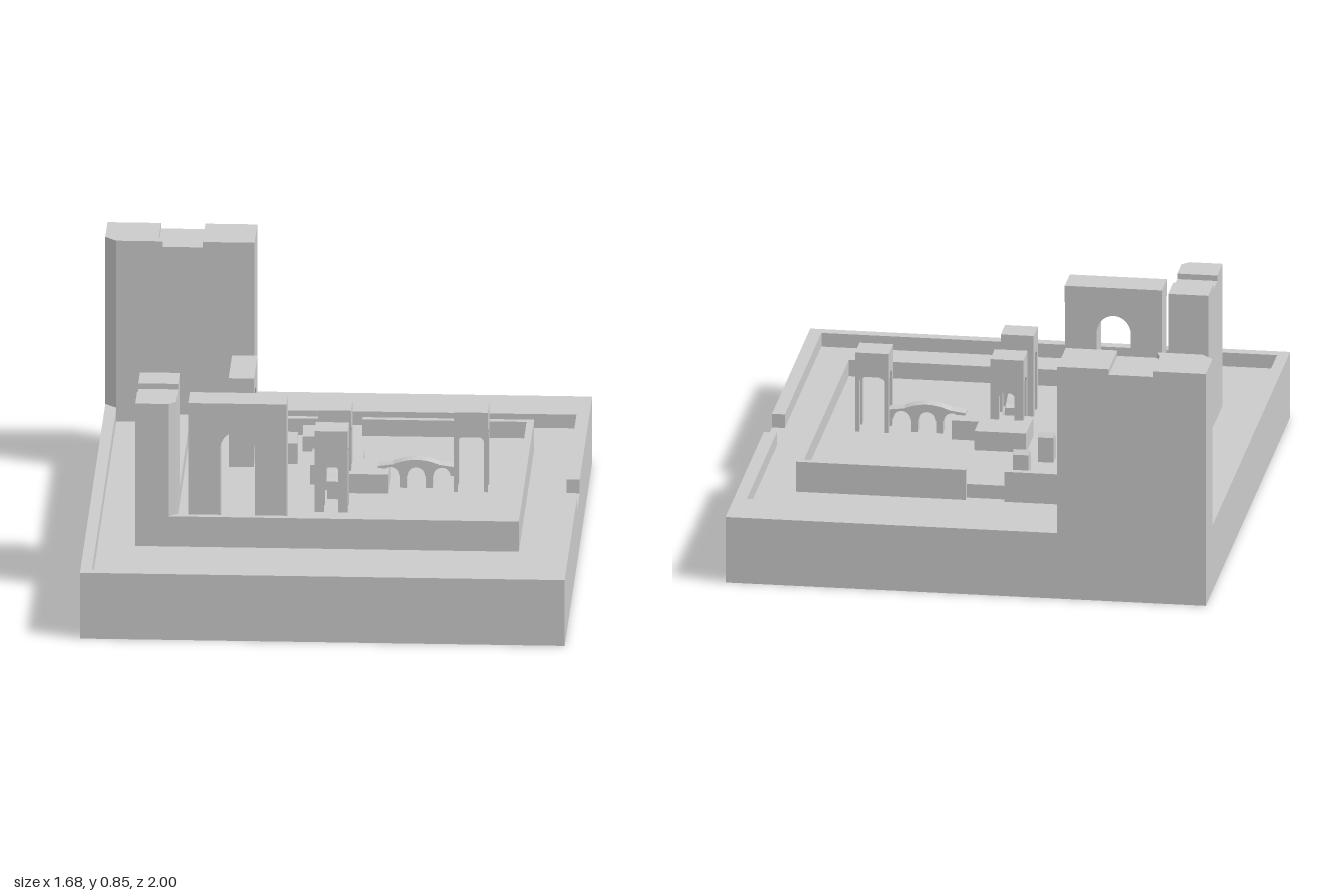
import * as THREE from 'three';

const material = new THREE.MeshStandardMaterial({ color: 0xcccccc, flatShading: true });

export function createModel() {
  const model = new THREE.Group();

  const add = (name, geometry, parent = model) => {
    const mesh = new THREE.Mesh(geometry, material);
    mesh.name = name;
    parent.add(mesh);
    return mesh;
  };
  const group = (name) => {
    const g = new THREE.Group();
    g.name = name;
    model.add(g);
    return g;
  };
  // Box given by its limits
  const box = (name, x0, x1, y0, y1, z0, z1, parent) => {
    const g = new THREE.BoxGeometry(x1 - x0, y1 - y0, z1 - z0);
    g.translate((x0 + x1) / 2, (y0 + y1) / 2, (z0 + z1) / 2);
    return add(name, g, parent);
  };
  // Plan outline of [x, z] points raised from y0 to y1
  const slab = (name, plan, y0, y1, parent) => {
    const shape = new THREE.Shape(plan.map(([x, z]) => new THREE.Vector2(x, -z)));
    const g = new THREE.ExtrudeGeometry(shape, { depth: y1 - y0, bevelEnabled: false });
    g.rotateX(-Math.PI / 2).translate(0, y0, 0);
    return add(name, g, parent);
  };
  // Upright shape centred on (x, z); alongZ turns its width along z
  const upright = (name, shape, depth, x, z, alongZ, parent) => {
    const g = new THREE.ExtrudeGeometry(shape, { depth, bevelEnabled: false, curveSegments: 10 });
    g.translate(0, 0, -depth / 2);
    if (alongZ) g.rotateY(-Math.PI / 2);
    g.translate(x, 0, z);
    return add(name, g, parent);
  };
  // Block of width w with an arched opening from its foot
  const archShape = (w, y0, y1, open, spring, rise) => {
    const s = new THREE.Shape();
    s.moveTo(-w / 2, y0);
    s.lineTo(-w / 2, y1);
    s.lineTo(w / 2, y1);
    s.lineTo(w / 2, y0);
    if (open < w) s.lineTo(open / 2, y0);
    s.lineTo(open / 2, spring);
    s.absellipse(0, spring, open / 2, rise, 0, Math.PI, false, 0);
    s.lineTo(-open / 2, y0);
    return s;
  };

  const ground = 0.19, court = 0.24;

  // Ground and outer wall, open on one side
  box('ground', -0.84, 0.84, 0, ground, -1, 1);
  slab('outerWall', [
    [0.84, 0.095], [0.84, 1], [-0.84, 1], [-0.84, -1], [0.84, -1], [0.84, -0.095],
    [0.795, -0.095], [0.795, -0.8], [-0.8, -0.8], [-0.8, 0.96], [0.795, 0.96], [0.795, 0.095],
  ], ground, 0.24);

  // Inner courtyard and its wall, open at the back
  box('courtyard', -0.54, 0.64, ground, court, -0.535, 0.53);
  slab('innerWall', [
    [0.065, -0.56], [0.66, -0.56], [0.66, 0.55], [-0.67, 0.55], [-0.67, -0.56], [-0.07, -0.56],
    [-0.07, -0.535], [-0.53, -0.535], [-0.53, 0.525], [0.635, 0.525], [0.635, -0.535], [0.065, -0.535],
  ], ground, 0.3);

  // Tall corner tower with a notched top
  const keep = group('backTower');
  slab('towerBody', [[-0.84, -1], [-0.32, -1], [-0.32, -0.8], [-0.8, -0.8], [-0.84, -0.84]], 0.24, 0.83, keep);
  slab('leftCrown', [[-0.84, -1], [-0.655, -1], [-0.655, -0.84], [-0.64, -0.8], [-0.8, -0.8], [-0.84, -0.84]], 0.83, 0.85, keep);
  box('rightCrown', -0.5, -0.32, 0.83, 0.85, -1, -0.8, keep);

  // Tower on the courtyard wall
  const gate = group('frontTower');
  const corner = [[-0.53, 0.525], [-0.555, 0.55], [-0.67, 0.55]];
  slab('towerBody', [...corner, [-0.67, 0.21], [-0.53, 0.21]], 0.3, 0.69, gate);
  slab('frontCrown', [...corner, [-0.67, 0.425], [-0.53, 0.425]], 0.69, 0.71, gate);
  box('backCrown', -0.67, -0.53, 0.69, 0.71, 0.21, 0.33, gate);

  // Two free-standing arches with cap slabs
  const front = group('frontArch');
  upright('archBody', archShape(0.34, court, 0.62, 0.12, 0.51, 0.065), 0.105, -0.32, 0.387, false, front);
  box('archCap', -0.49, -0.15, 0.62, 0.68, 0.327, 0.447, front);
  const side = group('sideArch');
  upright('archBody', archShape(0.24, court, 0.525, 0.09, 0.445, 0.045), 0.085, -0.336, -0.297, true, side);
  box('archCap', -0.38, -0.292, 0.525, 0.565, -0.422, -0.172, side);

  // Small pavilions: four posts, arched lintels and a solid head
  const pavilion = (name, x, z, w, d, top, openX, archX, openZ, archZ) => {
    const g = group(name);
    const head = Math.max(archX, archZ) + 0.01;
    box('head', x - w / 2, x + w / 2, head, top, z - d / 2, z + d / 2, g);
    const px = (w - openX) / 2, pz = (d - openZ) / 2;
    for (const sx of [-1, 1]) for (const sz of [-1, 1]) {
      const cx = x + sx * (w - px) / 2, cz = z + sz * (d - pz) / 2;
      box('post', cx - px / 2, cx + px / 2, court, head, cz - pz / 2, cz + pz / 2, g);
    }
    const lintel = (open, arch) => archShape(open, arch - 0.02, head, open, arch - 0.02, 0.02);
    for (const s of [-1, 1]) {
      upright('lintel', lintel(openX, archX), pz, x, z + s * (d - pz) / 2, false, g);
      upright('lintel', lintel(openZ, archZ), px, x + s * (w - px) / 2, z, true, g);
    }
  };
  pavilion('centrePavilion', -0.003, 0.005, 0.115, 0.105, 0.53, 0.055, 0.41, 0.05, 0.45);
  pavilion('frontPavilion', -0.003, 0.25, 0.115, 0.1, 0.535, 0.05, 0.41, 0.05, 0.46);
  pavilion('sidePavilion', 0.47, 0.005, 0.118, 0.105, 0.53, 0.09, 0.445, 0.05, 0.45);

  // Overlapping low terraces under the centre pavilion
  slab('terrace', [
    [-0.09, -0.18], [0.09, -0.18], [0.09, -0.08], [0.185, -0.08],
    [0.185, 0.09], [0.02, 0.09], [0.02, 0], [-0.09, 0],
  ], court, 0.31);

  // Humped footbridges with small arches underneath
  const bridge = (name, length, x, z, alongZ, width) => {
    const h = length / 2;
    const s = new THREE.Shape();
    s.moveTo(-h, 0.285);
    s.lineTo(-h, 0.318);
    s.lineTo(-h * 0.6, 0.325);
    s.quadraticCurveTo(0, 0.36, h * 0.6, 0.325);
    s.lineTo(h, 0.318);
    s.lineTo(h, 0.285);
    for (const c of [0.66, 0, -0.66]) {
      s.lineTo((c + 0.22) * h, 0.285);
      s.absellipse(c * h, 0.285, 0.22 * h, 0.03, 0, Math.PI, false, 0);
    }
    const g = group(name);
    upright('span', s, width, x, z, alongZ, g);
    // Piers between the arches
    for (const c of [-0.33, 0.33]) {
      const rx = alongZ ? width / 2 : 0.09 * h, rz = alongZ ? 0.09 * h : width / 2;
      const cx = x + (alongZ ? 0 : c * h), cz = z + (alongZ ? c * h : 0);
      box('pier', cx - rx, cx + rx, court, 0.286, cz - rz, cz + rz, g);
    }
  };
  bridge('sideBridge', 0.27, 0.28, 0, false, 0.045);
  bridge('frontBridge', 0.145, -0.003, 0.128, true, 0.042);

  // Broken wedges of stone
  for (const [x, z, top] of [[-0.105, -0.38, 0.325], [-0.172, -0.245, 0.345]]) {
    const wedge = new THREE.Shape([
      new THREE.Vector2(-0.026, court), new THREE.Vector2(0.026, court),
      new THREE.Vector2(0.026, top - 0.03), new THREE.Vector2(-0.01, top), new THREE.Vector2(-0.026, top - 0.015),
    ]);
    upright('rubble', wedge, 0.055, x, z, true);
  }

  return model;
}
